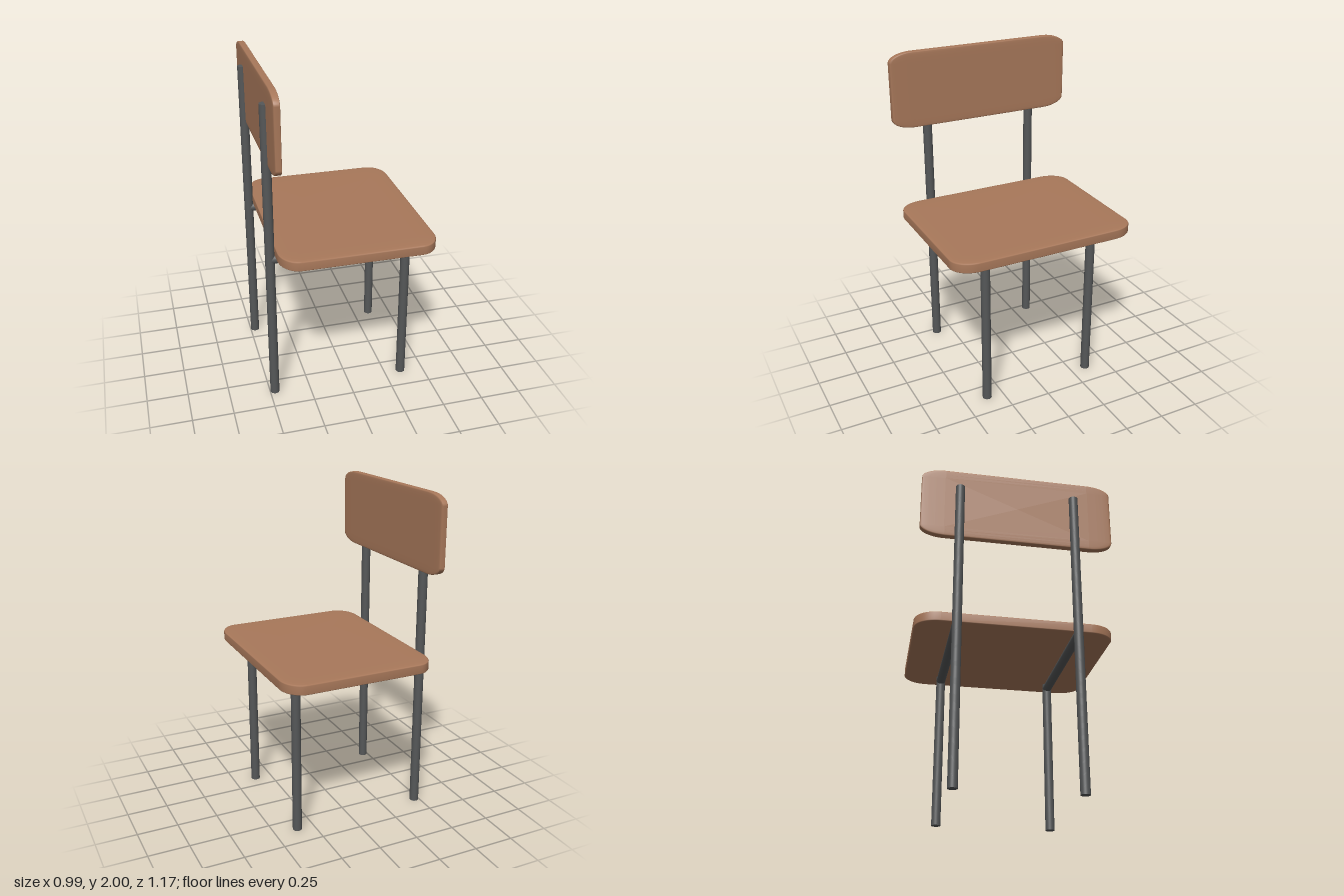
import * as THREE from 'three';

const wood = new THREE.MeshStandardMaterial({ color: 0xa8785a });
wood.name = 'warm wood';
const metal = new THREE.MeshStandardMaterial({ color: 0x555758 });
metal.name = 'dark metal';

// Softly crowned slab lying in x-z: elliptical corners (rx, rz), rings run from bottom to top
function slabGeometry(w, h, d, rx, rz) {
  const half = [[0, 0.72], [0.025, 0.86], [0.1, 0.93], [0.3, 0.97], [0.6, 0.99], [0.98, 1]];
  const levels = [...half.map(([u, v]) => [u, -v]).reverse(), ...half];
  const steps = 12, n = 4 * (steps + 1);
  const pos = [], idx = [];
  for (const [u, v] of levels) {
    for (let c = 0; c < 4; c++) {
      const sx = c === 0 || c === 3 ? 1 : -1, sz = c < 2 ? 1 : -1;
      for (let i = 0; i <= steps; i++) {
        const a = (c + i / steps) * Math.PI / 2;
        pos.push(sx * (w / 2 - rx) + (1 - u) * rx * Math.cos(a), v * h / 2,
          sz * (d / 2 - rz) + (1 - u) * rz * Math.sin(a));
      }
    }
  }
  for (let l = 0; l < levels.length - 1; l++) {
    for (let i = 0; i < n; i++) {
      const a = l * n + i, b = l * n + (i + 1) % n;
      idx.push(a, a + n, b, b, a + n, b + n);
    }
  }
  // Flat caps
  const last = (levels.length - 1) * n;
  const bottom = pos.length / 3;
  pos.push(0, -h / 2, 0, 0, h / 2, 0);
  for (let i = 0; i < n; i++) {
    const j = (i + 1) % n;
    idx.push(bottom, i, j, bottom + 1, last + j, last + i);
  }
  const g = new THREE.BufferGeometry();
  g.setAttribute('position', new THREE.Float32BufferAttribute(pos, 3));
  g.setIndex(idx);
  g.computeVertexNormals();
  return g;
}

export function createModel() {
  const group = new THREE.Group();
  const add = (name, geometry, material, x, y, z) => {
    const mesh = new THREE.Mesh(geometry, material);
    mesh.name = name;
    mesh.position.set(x, y, z);
    group.add(mesh);
    return mesh;
  };

  // Wooden panels
  add('seat', slabGeometry(0.94, 0.065, 1.174, 0.115, 0.145), wood, 0.025, 1.004, 0);
  const back = slabGeometry(0.468, 0.042, 1.174, 0.06, 0.145).rotateZ(Math.PI / 2);
  add('backrest', back, wood, -0.446, 1.766, 0);

  // Tubular frame, one set per side
  const r = 0.028, rearX = -0.47, frontX = 0.355;
  const tube = (length) => new THREE.CylinderGeometry(r, r, length, 32);
  for (const [side, z] of [['left', -0.353], ['right', 0.353]].map(([s, z]) => [s, z])) {
    const label = z > 0 ? 'Right' : 'Left';
    add('rearPost' + label, tube(1.885), metal, rearX, 0.9425, z);
    add('frontLeg' + label, tube(0.975), metal, frontX, 0.4875, z);
    add('seatRail' + label, tube(frontX - rearX).rotateZ(Math.PI / 2), metal,
      (frontX + rearX) / 2, 0.945, z);
  }
  return group;
}
